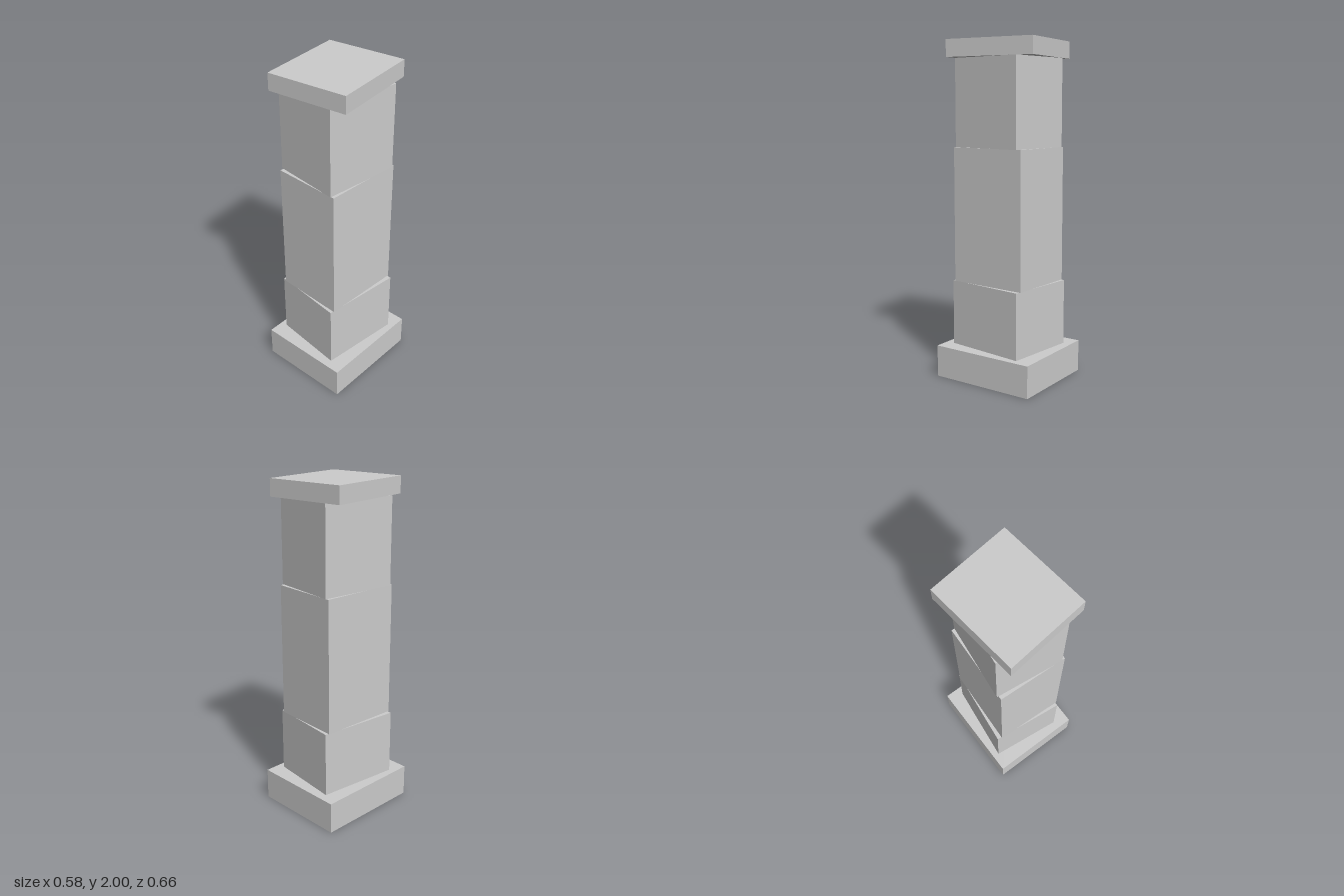
import * as THREE from 'three';

// Stacked blocks: name, width, depth, bottom, top, twist about y
const BLOCKS = [
  ['base', 0.574, 0.65, 0, 0.19, 0.016],
  ['lowerShaft', 0.442, 0.5, 0.19, 0.583, -0.098],
  ['middleShaft', 0.42, 0.487, 0.583, 1.385, -0.031],
  ['upperShaft', 0.412, 0.467, 1.385, 1.9, -0.097],
  ['cap', 0.486, 0.551, 1.9, 2, 0.134],
];

export function createModel() {
  const pillar = new THREE.Group();
  pillar.name = 'pillar';
  const stone = new THREE.MeshStandardMaterial({ color: 0xcccccc, flatShading: true });

  // Each block is turned slightly against the one below
  for (const [name, width, depth, bottom, top, twist] of BLOCKS) {
    const block = new THREE.Mesh(new THREE.BoxGeometry(width, top - bottom, depth), stone);
    block.name = name;
    block.position.y = (bottom + top) / 2;
    block.rotation.y = twist;
    pillar.add(block);
  }
  return pillar;
}
